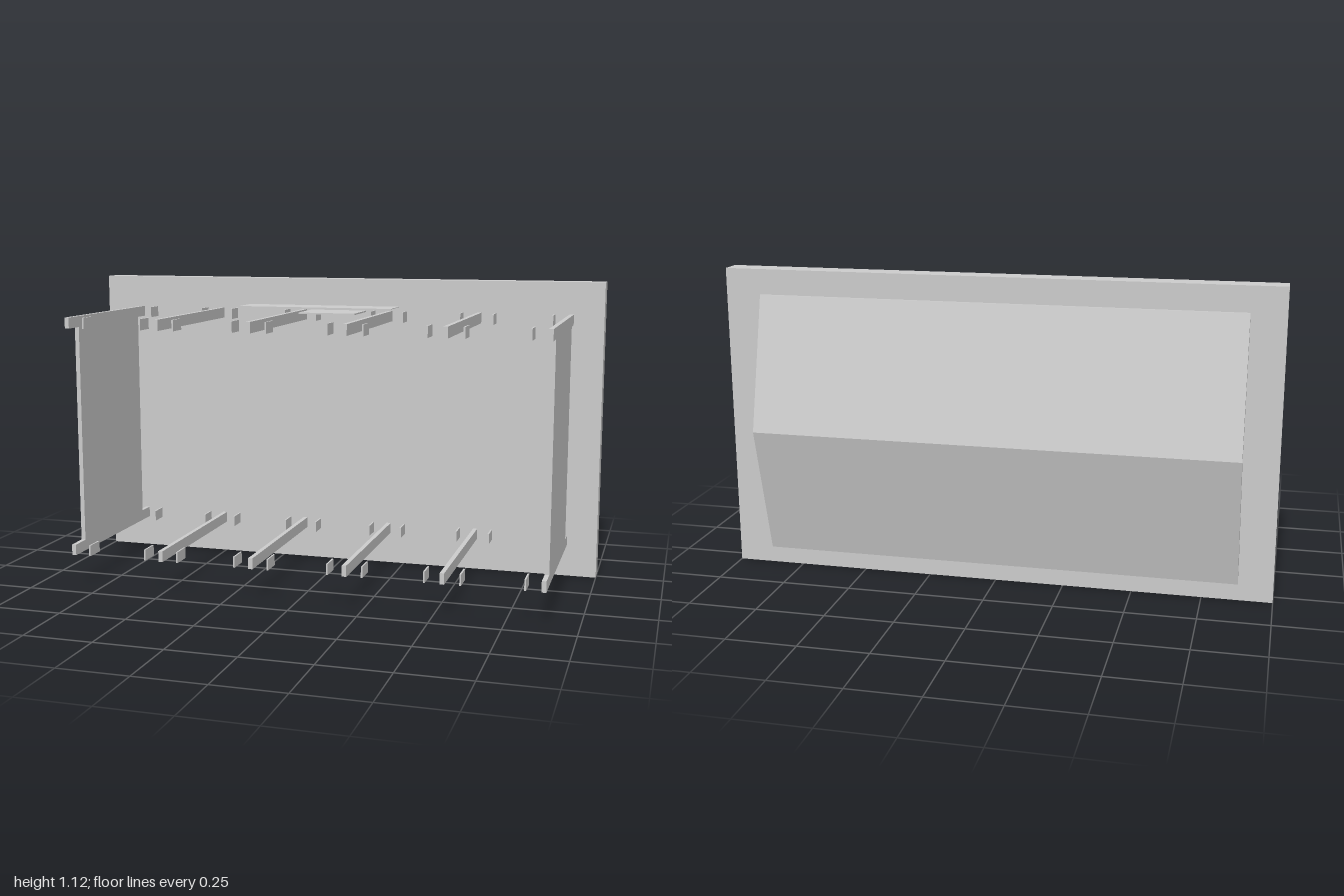
import * as THREE from 'three';

export function createModel() {
  const root = new THREE.Group();
  const mat = new THREE.MeshStandardMaterial({ color: 0xcccccc, flatShading: true });

  // Box given by its extents along each axis
  function box(name, [x0, x1], [y0, y1], [z0, z1], parent = root) {
    const mesh = new THREE.Mesh(new THREE.BoxGeometry(x1 - x0, y1 - y0, z1 - z0), mat);
    mesh.position.set((x0 + x1) / 2, (y0 + y1) / 2, (z0 + z1) / 2);
    mesh.name = name;
    parent.add(mesh);
    return mesh;
  }

  // Upright slab
  box('backPanel', [-1, 1], [0, 1.12], [-0.305, -0.225]);

  // Hollow, open-ended folded cover on the back
  const fold = new THREE.Shape([
    [-0.315, 1.028], [-0.437, 0.545], [-0.313, 0.062], [-0.29, 0.068], [-0.29, 0.1],
    [-0.305, 0.157], [-0.409, 0.545], [-0.305, 0.942], [-0.29, 1.0], [-0.29, 1.028],
  ].map(([z, y]) => new THREE.Vector2(-z, y)));
  const coverGeo = new THREE.ExtrudeGeometry(fold, { depth: 1.745, bevelEnabled: false });
  coverGeo.rotateY(Math.PI / 2); // shape x becomes -z, depth becomes +x
  coverGeo.translate(-0.877, 0, 0);
  const cover = new THREE.Mesh(coverGeo, mat);
  cover.name = 'foldedCover';
  root.add(cover);

  // Two levels of rails, with small tabs beside both ends of each rail
  const levels = { lower: [0.12, 0.16], upper: [0.96, 1.0] };
  const railCount = 6, spacing = 0.346, firstX = -0.85, half = 0.008;
  const tabOffset = 0.063, tabHalf = 0.003;
  for (const [level, y] of Object.entries(levels)) {
    const group = new THREE.Group();
    group.name = level + 'Rails';
    root.add(group);
    for (let i = 0; i < railCount; i++) {
      const x = firstX + i * spacing;
      box('rail', [x - half, x + half], y, [-0.225, 0.437], group);
      for (const side of [-1, 1]) {
        // The outermost rails carry tabs on their inner side only
        if ((i === 0 && side < 0) || (i === railCount - 1 && side > 0)) continue;
        const tx = x + side * tabOffset;
        box('frontTab', [tx - tabHalf, tx + tabHalf], y, [0.36, 0.435], group);
        box('backTab', [tx - tabHalf, tx + tabHalf], y, [-0.225, -0.155], group);
      }
    }
  }

  // Side walls joining the outermost rails
  for (const [name, x] of [['rightWall', firstX], ['leftWall', firstX + spacing * (railCount - 1)]]) {
    box(name, [x - half, x + half], [0.16, 0.96], [-0.155, 0.36]);
  }

  // Thin plates above the rails
  box('longPlate', [-0.272, 0.295], [1.036, 1.038], [0.09, 0.213]);
  box('squarePlate', [-0.092, 0.124], [1.003, 1.008], [-0.1, 0.068]);

  return root;
}
